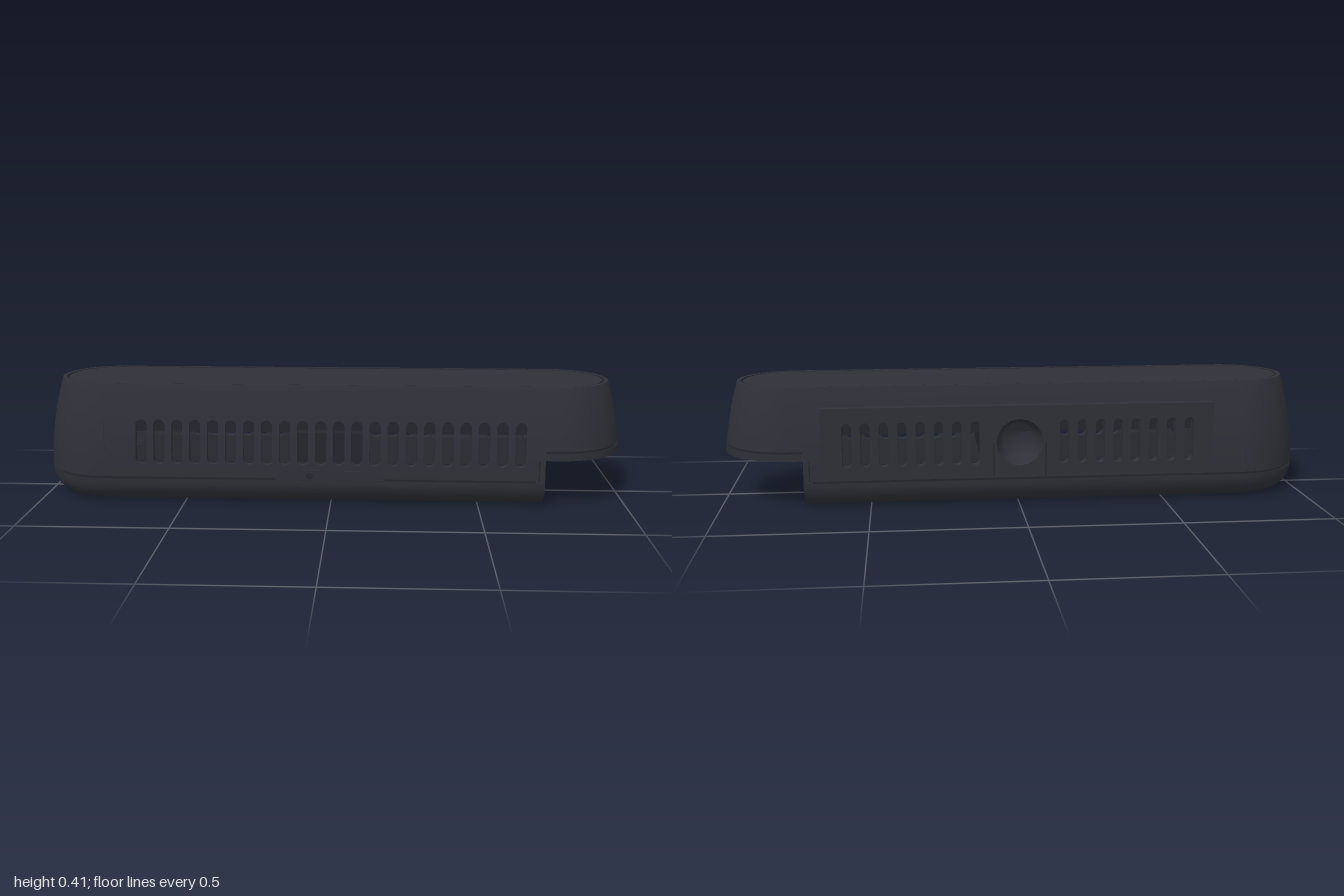
import * as THREE from 'three';
import { toCreasedNormals } from 'three/addons/utils/BufferGeometryUtils.js';

const C = 0.767;        // centre of the rounded ends
const CUT = 0.72;       // where the lower body stops
const WALL = 0.025;
const wallR = (y) => 0.233 - 0.048 * ((y - 0.09) / 0.315) ** 2;
const slope = (y) => -2 * 0.048 * (y - 0.09) / 0.315 ** 2;

const body = new THREE.MeshStandardMaterial({ color: 0x2f3038, side: THREE.DoubleSide });
body.name = 'charcoal plastic';
const dark = new THREE.MeshStandardMaterial({ color: 0x25262c, side: THREE.DoubleSide });
dark.name = 'dark recess';

// Half-turn path around one rounded end: [centre x, normal x, normal z]
function endPath(side, n = 40) {
  const pts = [];
  for (let i = 0; i <= n; i++) {
    const a = Math.PI * i / n;
    pts.push([side * C, side * Math.sin(a), -side * Math.cos(a)]);
  }
  return pts;
}
const leftEnd = endPath(-1), rightEnd = endPath(1);
const basePath = [[CUT, 0, 1], ...leftEnd, [CUT, 0, -1]];
const noseP = [[CUT, 0, -1], ...rightEnd, [CUT, 0, 1]];
const fullPath = [...leftEnd, ...rightEnd, leftEnd[0]];

// Skin a path with rings of [radius, y]
function loft(path, rings) {
  const pos = [], idx = [], n = path.length;
  for (const [r, y] of rings)
    for (const [cx, nx, nz] of path) pos.push(cx + nx * r, y, nz * r);
  for (let j = 0; j < rings.length - 1; j++)
    for (let i = 0; i < n - 1; i++) {
      const a = j * n + i, b = a + n;
      idx.push(a, b, a + 1, a + 1, b, b + 1);
    }
  const g = new THREE.BufferGeometry();
  g.setAttribute('position', new THREE.Float32BufferAttribute(pos, 3));
  g.setIndex(idx);
  return toCreasedNormals(g, 0.5);
}

// Rings following the curved side wall
function wallRings(y0, y1, n) {
  return Array.from({ length: n + 1 }, (_, i) => {
    const y = y0 + (y1 - y0) * i / n;
    return [wallR(y), y];
  });
}

// Upright pill outline with points along its straight sides
function pill(x, y0, y1, w) {
  const p = new THREE.Path(), r = w / 2;
  p.moveTo(x + r, y0 + r);
  for (let i = 1; i <= 4; i++) p.lineTo(x + r, y0 + r + (y1 - y0 - w) * i / 4);
  p.absarc(x, y1 - r, r, 0, Math.PI, false);
  for (let i = 3; i >= 0; i--) p.lineTo(x - r, y0 + r + (y1 - y0 - w) * i / 4);
  p.absarc(x, y0 + r, r, Math.PI, 2 * Math.PI, false);
  return p;
}

function circle(x, y, r) {
  return new THREE.Path().absarc(x, y, r, 0, Math.PI * 2, false);
}

function rect(x0, x1, y0, y1) {
  return new THREE.Shape([[x0, y0], [x1, y0], [x1, y1], [x0, y1]].map(p => new THREE.Vector2(...p)));
}

// Slotted side wall bent to the shell curve
function wall(x0, x1, holes) {
  const s = rect(x0, x1, 0.095, 0.3);
  s.holes = holes;
  const g = new THREE.ExtrudeGeometry(s, { depth: WALL, bevelEnabled: false, curveSegments: 8 });
  const p = g.attributes.position, nm = g.attributes.normal;
  for (let i = 0; i < p.count; i++) {
    const y = p.getY(i), sgn = Math.sign(nm.getZ(i));
    p.setZ(i, p.getZ(i) - WALL + wallR(y));
    if (Math.abs(nm.getZ(i)) > 0.5) {
      const l = Math.hypot(1, slope(y));
      nm.setXYZ(i, 0, -slope(y) / l * sgn, sgn / l);
    }
  }
  return g;
}

export function createModel() {
  const model = new THREE.Group();
  model.name = 'ventedDock';
  const add = (name, geo, mat, x = 0, y = 0, z = 0) => {
    const m = new THREE.Mesh(geo, mat);
    m.name = name;
    m.position.set(x, y, z);
    model.add(m);
    return m;
  };
  const box = (name, mat, w, h, d, x, y, z) => add(name, new THREE.BoxGeometry(w, h, d), mat, x, y, z);

  // Rounded lower cover with its parting groove
  const cover = [[0, 0]];
  for (let i = 0; i <= 10; i++) {
    const a = i / 10 * Math.PI / 2;
    cover.push([0.143 + 0.09 * Math.sin(a), 0.086 * (1 - Math.cos(a))]);
  }
  add('lowerCover', loft(basePath, cover), body);
  add('lowerGroove', loft(basePath, [[0.233, 0.086], [0.222, 0.086], [0.222, 0.095], [0.233, 0.095]]), dark);

  // Upper shell: left end, overhanging right end, crown
  add('leftEndShell', loft(leftEnd, wallRings(0.095, 0.3, 8)), body);
  add('overhangLip', loft(noseP, [[0, 0.165], [0.231, 0.165], [0.231, 0.189]]), body);
  add('overhangGroove', loft(noseP, [[0.231, 0.189], [0.222, 0.189], [0.222, 0.196], [wallR(0.196), 0.196]]), dark);
  add('rightEndShell', loft(noseP, wallRings(0.196, 0.3, 5)), body);
  add('crown', loft(fullPath, [...wallRings(0.3, 0.405, 7), [0.171, 0.405]]), body);
  add('topGroove', loft(fullPath, [[0.171, 0.405], [0.169, 0.399], [0.166, 0.399], [0.164, 0.404]]), dark);
  add('topPanel', loft(fullPath, [[0.164, 0.404], [0, 0.404]]), body);

  // Front wall with a row of vents
  const frontSlots = [];
  for (let i = 0; i < 22; i++) frontSlots.push(pill(-0.64 + i * 0.0608, 0.14, 0.29, 0.038));
  add('frontVentWall', wall(-C, CUT, frontSlots), body);

  // Back wall and raised plate share two vent groups and a round socket
  const SOCKET_Y = 0.215;
  const backHoles = () => {
    const h = [circle(0, SOCKET_Y, 0.08)];
    for (let i = 0; i < 8; i++)
      for (const s of [-1, 1]) h.push(pill(s * (0.15 + i * 0.0608), 0.14, 0.29, 0.032));
    return h;
  };
  add('backVentWall', wall(-CUT, C, backHoles()), body).rotation.y = Math.PI;
  const plate = rect(-0.66, 0.66, 0.097, 0.34);
  plate.holes = backHoles();
  const plateGeo = new THREE.ExtrudeGeometry(plate, { depth: 0.038, bevelEnabled: false, curveSegments: 8 });
  add('backPlate', plateGeo, body, 0, 0, -0.2335);
  const socket = add('roundSocket', new THREE.LatheGeometry(
    [[0, 0.09], [0.045, 0.085], [0.062, 0.06], [0.07, 0.03], [0.08, 0]].map(p => new THREE.Vector2(...p)), 40),
    body, 0, SOCKET_Y, -0.233);
  socket.rotation.x = Math.PI / 2;
  for (const s of [-1, 1]) box('backPlateSeam', dark, 0.004, 0.115, 0.002, s * 0.088, 0.155, -0.2335);

  // Interior blocks behind the vents
  box('innerFloor', dark, 1.4, 0.035, 0.4, 0, 0.125, 0);
  box('innerCeiling', dark, 1.44, 0.13, 0.32, 0, 0.302, 0);
  box('innerCore', dark, 0.25, 0.11, 0.27, 0, 0.19, 0.06);

  // Connector face below the overhang
  const face = new THREE.Shape();
  face.moveTo(-0.143, 0);
  face.lineTo(0.143, 0);
  face.absarc(0.143, 0.09, 0.09, -Math.PI / 2, 0, false);
  face.lineTo(0.231, 0.166);
  face.lineTo(-0.231, 0.166);
  face.absarc(-0.143, 0.09, 0.09, Math.PI, Math.PI * 1.5, false);
  const port = new THREE.Path();
  port.absarc(0.065, 0.093, 0.025, 0, Math.PI / 2, false);
  port.absarc(-0.065, 0.093, 0.025, Math.PI / 2, Math.PI, false);
  port.absarc(-0.065, 0.078, 0.025, Math.PI, Math.PI * 1.5, false);
  port.absarc(0.065, 0.078, 0.025, Math.PI * 1.5, Math.PI * 2, false);
  face.holes = [port, circle(0.152, 0.085, 0.017), circle(-0.152, 0.085, 0.017)];
  const faceGeo = new THREE.ExtrudeGeometry(face, { depth: 0.03, bevelEnabled: false, curveSegments: 16 });
  add('connectorFace', faceGeo, body, CUT - 0.03, 0, 0).rotation.y = Math.PI / 2;
  box('portBack', dark, 0.004, 0.09, 0.36, CUT - 0.032, 0.085, 0);

  // Front latch tab, corner seams and underside screws
  const tab = new THREE.Shape([[-0.185, 0.09], [0.185, 0.09], [0.165, 0.118], [0.155, 0.123],
    [-0.155, 0.123], [-0.165, 0.118]].map(p => new THREE.Vector2(...p)));
  add('latchTab', new THREE.ExtrudeGeometry(tab, { depth: 0.005, bevelEnabled: false }), body, 0, 0, 0.23);
  const dot = add('latchDot', new THREE.CylinderGeometry(0.012, 0.012, 0.002, 20), dark, -0.07, 0.104, 0.235);
  dot.rotation.x = Math.PI / 2;
  for (const s of [-1, 1]) {
    box('cornerSeam', dark, 0.004, 0.07, 0.004, 0.7, 0.13, s * 0.2315);
    add('undersideScrew', new THREE.CylinderGeometry(0.018, 0.018, 0.004, 20), dark, s * 0.45, 0.0015, 0);
  }
  return model;
}
